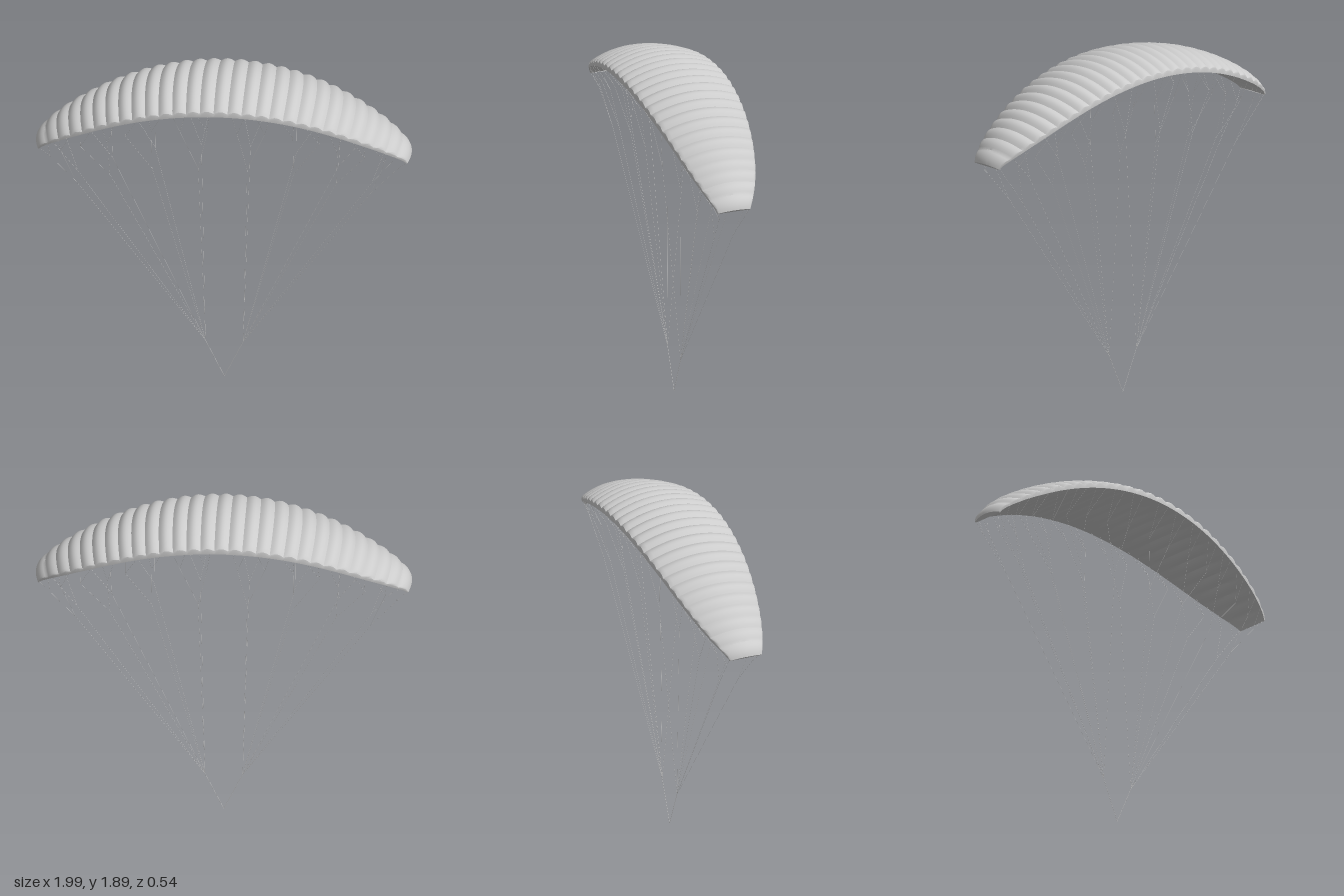
import * as THREE from 'three';
import { mergeGeometries, toCreasedNormals } from 'three/addons/utils/BufferGeometryUtils.js';

const CELLS = 29, CELL_STEPS = 6;

// lower edge of the canopy, seen from the front
const half = [[0.2, 1.776], [0.4, 1.735], [0.6, 1.666], [0.8, 1.571], [0.9, 1.513], [0.945, 1.482], [0.965, 1.464], [0.977, 1.449]];
const arc = new THREE.CatmullRomCurve3([
  ...half.map(([x, y]) => new THREE.Vector3(-x, y, 0)).reverse(),
  new THREE.Vector3(0, 1.79, 0),
  ...half.map(([x, y]) => new THREE.Vector3(x, y, 0)),
]);
arc.arcLengthDivisions = 800;

// point on the canopy: t along the span (0..1), u along the chord (-1 back..1 front), h height fraction
function canopyPoint(t, u, h) {
  const p = arc.getPointAt(t), tan = arc.getTangentAt(t);
  const s = Math.abs(2 * t - 1);
  const thickness = 0.1 * (1 - 0.45 * s ** 2 - 0.25 * s ** 12);
  const reach = 0.268 * Math.sqrt(1 - p.x * p.x / 1.08);
  return new THREE.Vector3(
    p.x - tan.y * thickness * h,
    p.y + tan.x * thickness * h,
    u * reach + 0.022 * s ** 4,
  );
}

// closed wing of inflated cells: domed top with upright front and back edges, nearly flat underside
function canopyGeometry() {
  const edge = [[1, 0], [1, 0.2], [0.99, 0.32], [0.96, 0.4], [0.9, 0.48]];
  const top = edge.map(([u, h]) => [-u, h, 0]);
  for (let u = -0.75; u < 0.76; u += 0.15) top.push([u, 0.36 + 0.64 * (1 - u * u), 0]);
  top.push(...edge.map(([u, h]) => [u, h, 0]).reverse());
  const section = [...top];
  for (let u = 0.75; u > -1.01; u -= 0.25) section.push([u, 0, 0.1 * (1 - u * u)]);

  // stations along the span; puff is 1 mid-cell and 0 at the seams, rise closes the tips
  const stations = [[0, 0, 0]];
  const n = CELLS * CELL_STEPS;
  for (let i = 0; i <= n; i++) {
    const c = 2 * ((i % CELL_STEPS) / CELL_STEPS) - 1;
    stations.push([i / n, Math.cos(c * Math.PI / 2), 1]);
  }
  stations.push([1, 0, 0]);

  const pos = [], index = [], m = section.length;
  stations.forEach(([t, puff, rise], i) => section.forEach(([u, h, seam], j) => {
    const groove = 0.16 * Math.min(1, h / 0.4);
    const height = rise * (h + (seam - groove) * (1 - puff));
    pos.push(...canopyPoint(t, u, height).toArray());
    if (i + 1 < stations.length && j + 1 < m) {
      const a = i * m + j, b = a + 1, c = a + m, d = c + 1;
      index.push(a, b, c, b, d, c);
    }
  }));
  const g = new THREE.BufferGeometry();
  g.setAttribute('position', new THREE.Float32BufferAttribute(pos, 3));
  g.setIndex(index);
  return toCreasedNormals(g, 0.55);
}

// thin straight cord between two points
function cord(a, b, r = 0.0006) {
  const dir = b.clone().sub(a);
  const g = new THREE.CylinderGeometry(r, r, dir.length(), 4, 1, true);
  g.applyQuaternion(new THREE.Quaternion().setFromUnitVectors(new THREE.Vector3(0, 1, 0), dir.clone().normalize()));
  return g.translate(...a.clone().add(b).multiplyScalar(0.5).toArray());
}

export function createModel() {
  const model = new THREE.Group();
  model.name = 'paraglider';
  const material = new THREE.MeshStandardMaterial({ color: 0xcccccc, side: THREE.DoubleSide });
  const add = (name, geometry) => {
    const mesh = new THREE.Mesh(geometry, material);
    mesh.name = name;
    model.add(mesh);
  };

  add('canopy', canopyGeometry());

  // joints of the suspension lines, as x and y on one side
  const lower = [[0.13, 1.37], [0.375, 1.35], [0.6, 1.29], [0.78, 1.22]];
  const upper = [[0.08, 1.62], [0.225, 1.62], [0.375, 1.61], [0.515, 1.57],
    [0.61, 1.51], [0.755, 1.48], [0.86, 1.44], [0.92, 1.39]];

  for (const side of [1, -1]) {
    const sideName = side > 0 ? 'left' : 'right';
    const hub = new THREE.Vector3(0.1 * side, 0.22, 0);
    add(sideName + 'Riser', cord(new THREE.Vector3(0, 0, 0), hub, 0.0012));

    for (const row of [1, -1]) {
      const attach = j => canopyPoint(0.5 + side * (j + 0.9) / 32, row * 0.96, 0.02);
      const mains = [], branches = [], tips = [];
      lower.forEach(([x, y], k) => {
        const main = new THREE.Vector3(x * side, y, 0.45 * attach(4 * k + 2).z);
        mains.push(cord(hub, main));
        for (const q of [2 * k, 2 * k + 1]) {
          const node = new THREE.Vector3(upper[q][0] * side, upper[q][1], 0.62 * attach(2 * q).z);
          branches.push(cord(main, node));
          tips.push(cord(node, attach(2 * q)), cord(node, attach(2 * q + 1)));
        }
      });
      const name = sideName + (row > 0 ? 'Front' : 'Back');
      add(name + 'MainLines', mergeGeometries(mains));
      add(name + 'BranchLines', mergeGeometries(branches));
      add(name + 'UpperLines', mergeGeometries(tips));
    }
  }
  return model;
}
